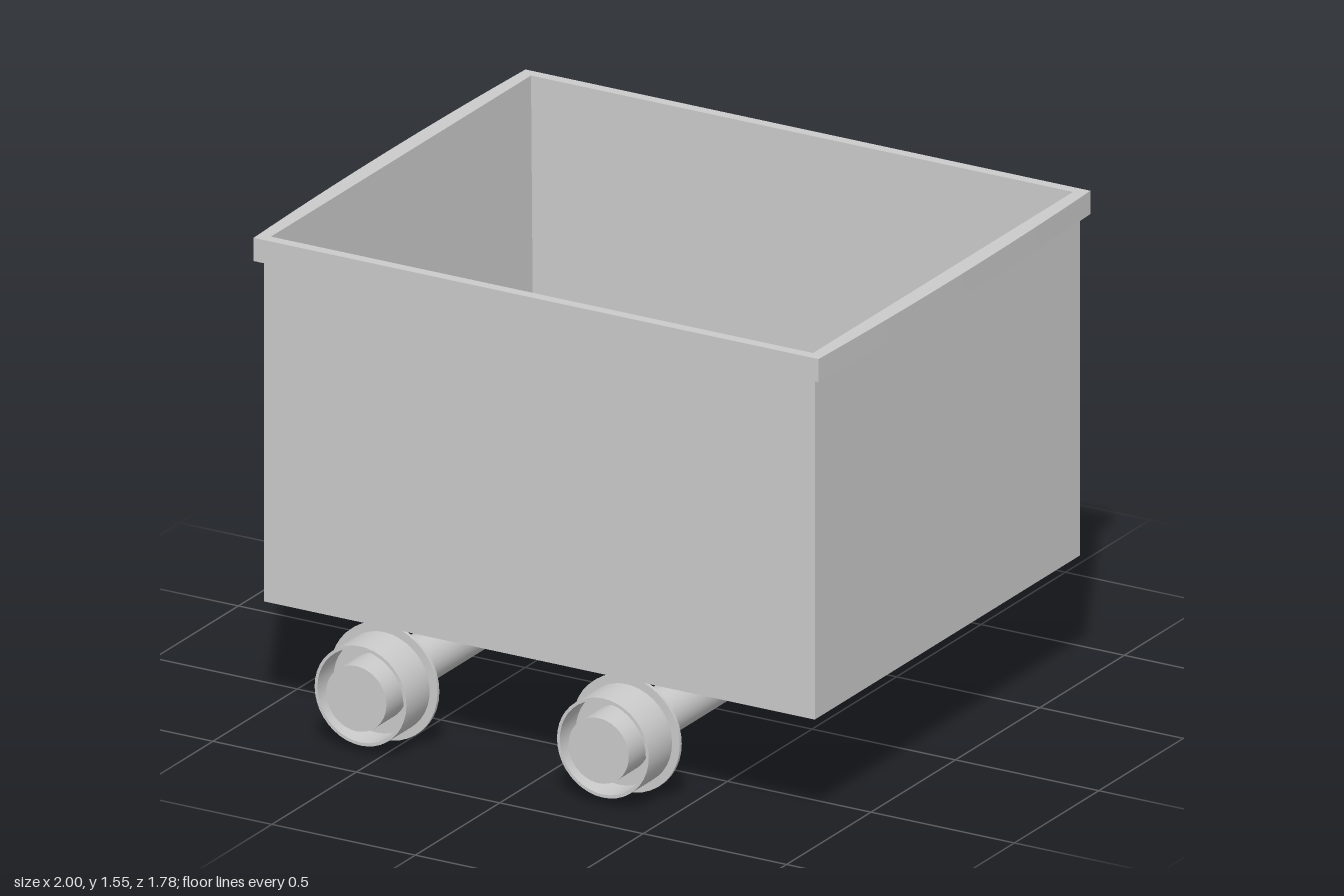
import * as THREE from 'three';
import { toCreasedNormals } from 'three/addons/utils/BufferGeometryUtils.js';

const material = new THREE.MeshStandardMaterial({ color: 0xcccccc });
const tubZ = -0.02; // the tub sits slightly behind the wheel centre line

function add(parent, name, geometry) {
  const mesh = new THREE.Mesh(geometry, material);
  mesh.name = name;
  parent.add(mesh);
  return mesh;
}

// Joins rectangular rings [halfX, halfZ, y] into a flat-sided surface
function loftRectangles(rings) {
  const corners = [[1, 1], [1, -1], [-1, -1], [-1, 1]];
  const point = ([hx, hz, y], i) => [corners[i % 4][0] * hx, y, corners[i % 4][1] * hz];
  const positions = [];
  for (let k = 0; k < rings.length - 1; k++) {
    for (let i = 0; i < 4; i++) {
      const a = point(rings[k], i), b = point(rings[k], i + 1);
      const c = point(rings[k + 1], i + 1), d = point(rings[k + 1], i);
      if (rings[k][0] > 0) positions.push(...a, ...b, ...c);
      if (rings[k + 1][0] > 0 || rings[k][0] > 0) positions.push(...a, ...c, ...d);
    }
  }
  const geometry = new THREE.BufferGeometry();
  geometry.setAttribute('position', new THREE.Float32BufferAttribute(positions, 3));
  geometry.computeVertexNormals();
  return geometry;
}

// Rim band with gently bowed ends and a rectangular opening
function rimGeometry() {
  const x = 0.985, z = 0.805, bow = 1.005;
  const shape = new THREE.Shape();
  shape.moveTo(-x, -z);
  shape.lineTo(x, -z);
  shape.bezierCurveTo(bow, -0.27, bow, 0.27, x, z);
  shape.lineTo(-x, z);
  shape.bezierCurveTo(-bow, 0.27, -bow, -0.27, -x, -z);
  const hx = 0.945, hz = 0.77;
  shape.holes.push(new THREE.Path([
    [-hx, -hz], [-hx, hz], [hx, hz], [hx, -hz],
  ].map(p => new THREE.Vector2(...p))));
  const geometry = new THREE.ExtrudeGeometry(shape, { depth: 0.075, bevelEnabled: false, curveSegments: 16 });
  return toCreasedNormals(geometry.rotateX(Math.PI / 2), 0.5);
}

// Flanged wheel with a recessed face and a protruding hub, facing +z
function wheelGeometry() {
  const profile = [
    [0, 0.715], [0.187, 0.715], [0.187, 0.727], [0.16, 0.727], [0.16, 0.865],
    [0.15, 0.865], [0.15, 0.77], [0.105, 0.77], [0.105, 0.89], [0, 0.89],
  ].map(p => new THREE.Vector2(...p));
  return toCreasedNormals(new THREE.LatheGeometry(profile, 40).rotateX(Math.PI / 2), 0.6);
}

export function createModel() {
  const model = new THREE.Group();
  model.name = 'mineCart';

  // Open tub with slightly tapering inner walls
  add(model, 'tub', loftRectangles([
    [0, 0, 0.38], [0.96, 0.785, 0.38], [0.96, 0.785, 1.5],
    [0.945, 0.77, 1.555], [0.925, 0.752, 0.42], [0, 0, 0.42],
  ])).position.z = tubZ;

  const rim = add(model, 'rim', rimGeometry());
  rim.position.set(0, 1.555, tubZ);

  // Central underframe, sloped at one end
  const side = new THREE.Shape([
    [-0.96, 0.215], [0.74, 0.215], [0.96, 0.38], [-0.96, 0.38],
  ].map(p => new THREE.Vector2(...p)));
  const frame = new THREE.ExtrudeGeometry(side, { depth: 0.83, bevelEnabled: false });
  add(model, 'underframe', frame).position.z = tubZ - 0.415;

  // Two wheelsets
  const wheel = wheelGeometry();
  const axle = new THREE.CylinderGeometry(0.077, 0.077, 1.44, 32).rotateX(Math.PI / 2);
  for (const [name, x] of [['rightWheelset', -0.565], ['leftWheelset', 0.28]]) {
    const set = new THREE.Group();
    set.name = name;
    set.position.set(x, 0.187, 0);
    add(set, 'axle', axle);
    add(set, 'frontWheel', wheel);
    add(set, 'backWheel', wheel).rotation.y = Math.PI;
    model.add(set);
  }
  return model;
}
